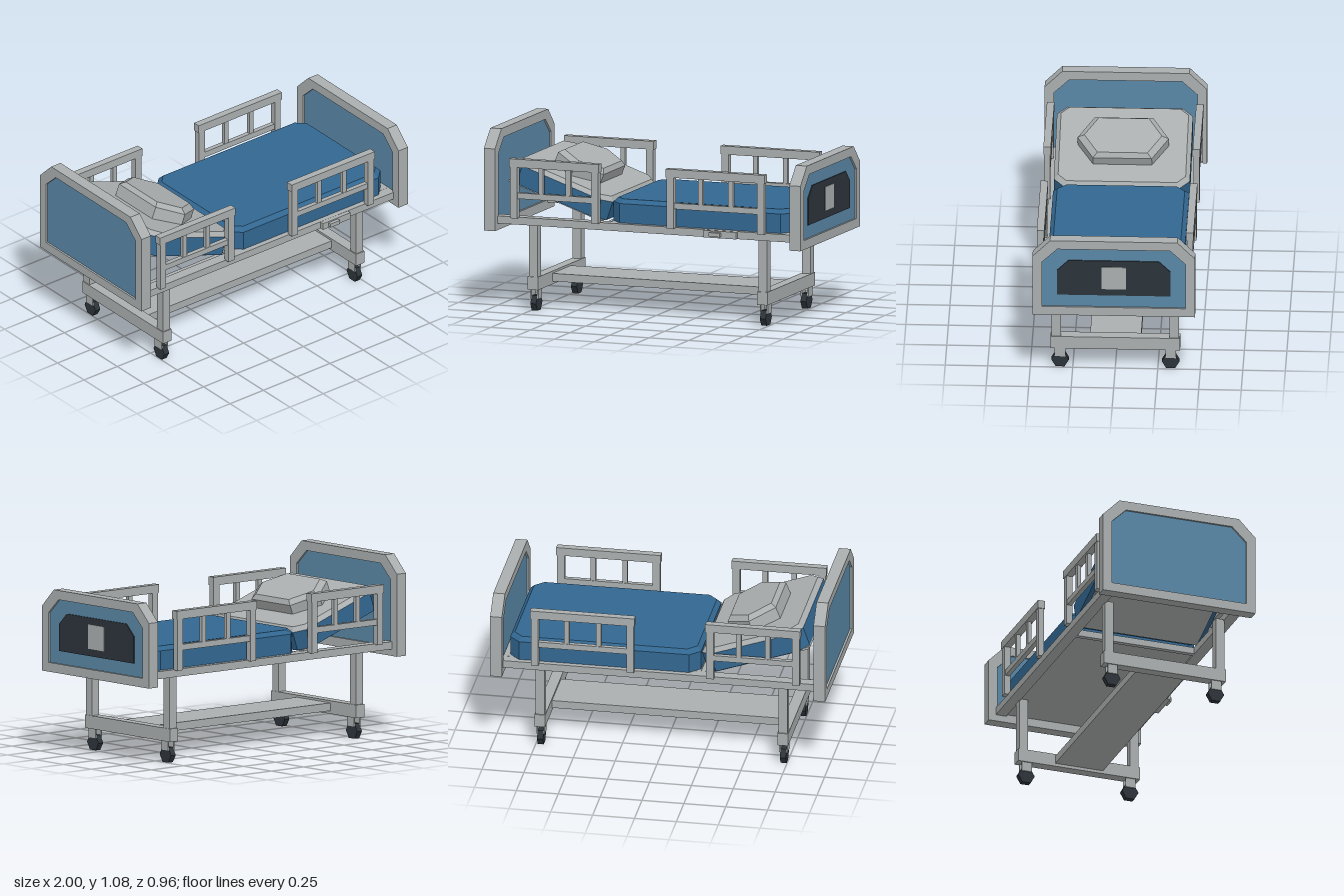
import * as THREE from 'three';
import { ConvexGeometry } from 'three/addons/geometries/ConvexGeometry.js';

const flat = (name, color) => {
  const m = new THREE.MeshStandardMaterial({ color });
  m.name = name;
  return m;
};

export function createModel() {
  const bed = new THREE.Group();
  bed.name = 'hospitalBed';
  const grey = flat('grey frame', 0xaaaeae);
  const blue = flat('mattress blue', 0x326791);
  const panelBlue = flat('panel blue', 0x5987a6);
  const dark = flat('dark trim', 0x2c343a);

  const add = (name, geometry, material, parent = bed) => {
    const mesh = new THREE.Mesh(geometry, material);
    mesh.name = name;
    parent.add(mesh);
    return mesh;
  };

  // Box given by its limits on each axis
  const box = (name, [x0, x1], [y0, y1], [z0, z1], material = grey, parent = bed) => {
    const g = new THREE.BoxGeometry(x1 - x0, y1 - y0, z1 - z0);
    g.translate((x0 + x1) / 2, (y0 + y1) / 2, (z0 + z1) / 2);
    return add(name, g, material, parent);
  };

  // Upright outline in the z-y plane with its two top corners cut off
  const outline = (w, y0, y1, cutZ, cutY) => [
    [-w, y0], [w, y0], [w, y1 - cutY], [w - cutZ, y1], [cutZ - w, y1], [-w, y1 - cutY],
  ].map(([z, y]) => new THREE.Vector2(z, y));

  const plate = (name, points, x0, x1, material, hole) => {
    const shape = new THREE.Shape(points);
    if (hole) shape.holes.push(new THREE.Path(hole));
    const g = new THREE.ExtrudeGeometry(shape, { depth: x1 - x0, bevelEnabled: false });
    g.rotateY(Math.PI / 2).translate(x0, 0, 0);
    return add(name, g, material);
  };

  // Cushion from stacked horizontal loops: each layer is [loop, y]
  const cushion = (name, layers, material, parent = bed) =>
    add(name, new ConvexGeometry(layers.flatMap(([loop, y]) =>
      loop.map(([x, z]) => new THREE.Vector3(x, y, z)))), material, parent);

  const octagon = (w, d, cut) => [
    [w - cut, d], [w, d - cut], [w, cut - d], [w - cut, -d],
    [cut - w, -d], [-w, cut - d], [-w, d - cut], [cut - w, d],
  ];

  // Headboard and footboard: frame with recessed panel
  for (const [name, x0, top] of [['headboard', -1, 1.075], ['footboard', 0.93, 0.972]]) {
    const hole = outline(0.422, 0.535, top - 0.055, 0.09, 0.087);
    plate(name + 'Frame', outline(0.478, 0.48, top, 0.104, 0.105), x0, x0 + 0.07, grey, hole);
    plate(name + 'Panel', hole, x0 + 0.012, x0 + 0.058, panelBlue);
  }
  plate('footboardControlPlate', outline(0.333, 0.612, 0.84, 0.067, 0.066), 0.988, 0.994, dark);
  box('footboardScreen', [0.993, 0.998], [0.655, 0.8], [-0.072, 0.072]);

  // Bed frame and deck
  for (const s of [-1, 1]) {
    const z = s * 0.4;
    box('sideBeam', [-0.94, 0.94], [0.52, 0.565], [z - 0.033, z + 0.033]);
  }
  box('deck', [-0.24, 0.94], [0.53, 0.566], [-0.37, 0.37]);
  box('deckCrossBar', [-0.265, -0.235], [0.522, 0.562], [-0.37, 0.37]);

  // Main mattress with chamfered top edge
  const main = cushion('mattress', [
    [octagon(0.57, 0.4, 0.062), -0.07],
    [octagon(0.57, 0.4, 0.062), 0.045],
    [octagon(0.545, 0.375, 0.052), 0.07],
  ], blue);
  main.position.set(0.335, 0.635, 0);

  // Raised backrest with sheet and pillow
  const backrest = new THREE.Group();
  backrest.name = 'backrest';
  backrest.position.set(-0.557, 0.738, 0);
  backrest.rotation.z = -0.335;
  bed.add(backrest);
  const backLoop = octagon(0.32, 0.4, 0.06);
  cushion('backrestMattress', [[backLoop, -0.07], [backLoop, 0.045]], blue, backrest);
  cushion('backrestSheet', [[backLoop, 0.045], [octagon(0.295, 0.375, 0.05), 0.07]], grey, backrest);
  box('backrestDeck', [-0.32, 0.3], [-0.084, -0.07], [-0.37, 0.37], grey, backrest);
  const hexagon = (k) => [
    [0, 0.268], [0.155, 0.173], [0.155, -0.173], [0, -0.268], [-0.155, -0.173], [-0.155, 0.173],
  ].map(([x, z]) => [x * k, z * k]);
  const pillow = cushion('pillow', [
    [hexagon(1), -0.05], [hexagon(1), 0.025], [hexagon(0.85), 0.05],
  ], grey, backrest);
  pillow.position.set(0.005, 0.11, 0);
  pillow.rotation.z = -0.05;

  // Four side rails; both lengths share one layout
  for (const [name, x0, x1] of [['headSideRail', -0.847, -0.281], ['footSideRail', 0.142, 0.766]]) {
    for (const s of [-1, 1]) {
      const rail = new THREE.Group();
      rail.name = name;
      bed.add(rail);
      const depth = (t) => [s * 0.439 - t, s * 0.439 + t];
      const length = x1 - x0;
      box('topBar', [x0, x1], [0.865, 0.915], depth(0.022), grey, rail);
      box('lowerBar', [x0 + 0.02, x1 - 0.02], [0.678, 0.713], depth(0.014), grey, rail);
      for (const x of [x0 + 0.027, x1 - 0.027])
        box('post', [x - 0.022, x + 0.022], [0.56, 0.867], depth(0.018), grey, rail);
      for (const f of [0.345, 0.65]) {
        const x = x0 + length * f;
        box('spindle', [x - 0.015, x + 0.015], [0.71, 0.867], depth(0.012), grey, rail);
      }
    }
  }

  // Control box on the front beam
  box('controlBox', [0.38, 0.585], [0.522, 0.564], [0.43, 0.458]);
  box('controlBoxHandle', [0.42, 0.49], [0.532, 0.556], [0.458, 0.479]);

  // Undercarriage: legs, cross bars and casters
  box('baseBeam', [-0.72, 0.71], [0.145, 0.192], [-0.15, 0.15]);
  for (const x of [-0.729, 0.721]) {
    box('baseCrossBar', [x - 0.032, x + 0.032], [0.127, 0.205], [-0.381, 0.381]);
    for (const s of [-1, 1]) {
      const legZ = s * 0.347;
      const z = s * 0.325;
      box('leg', [x - 0.027, x + 0.027], [0.2, 0.53], [legZ - 0.027, legZ + 0.027]);
      for (const side of [-1, 1]) {
        const fx = x + side * 0.021;
        box('casterFork', [fx - 0.004, fx + 0.004], [0.07, 0.13], [z - 0.031, z + 0.031]);
      }
      // Six-sided wheel resting on a flat
      const wheel = new THREE.CylinderGeometry(0.0515, 0.0515, 0.036, 6).toNonIndexed();
      wheel.rotateZ(Math.PI / 2);
      wheel.computeVertexNormals();
      add('casterWheel', wheel, dark).position.set(x, 0.0446, z);
    }
  }
  return bed;
}
